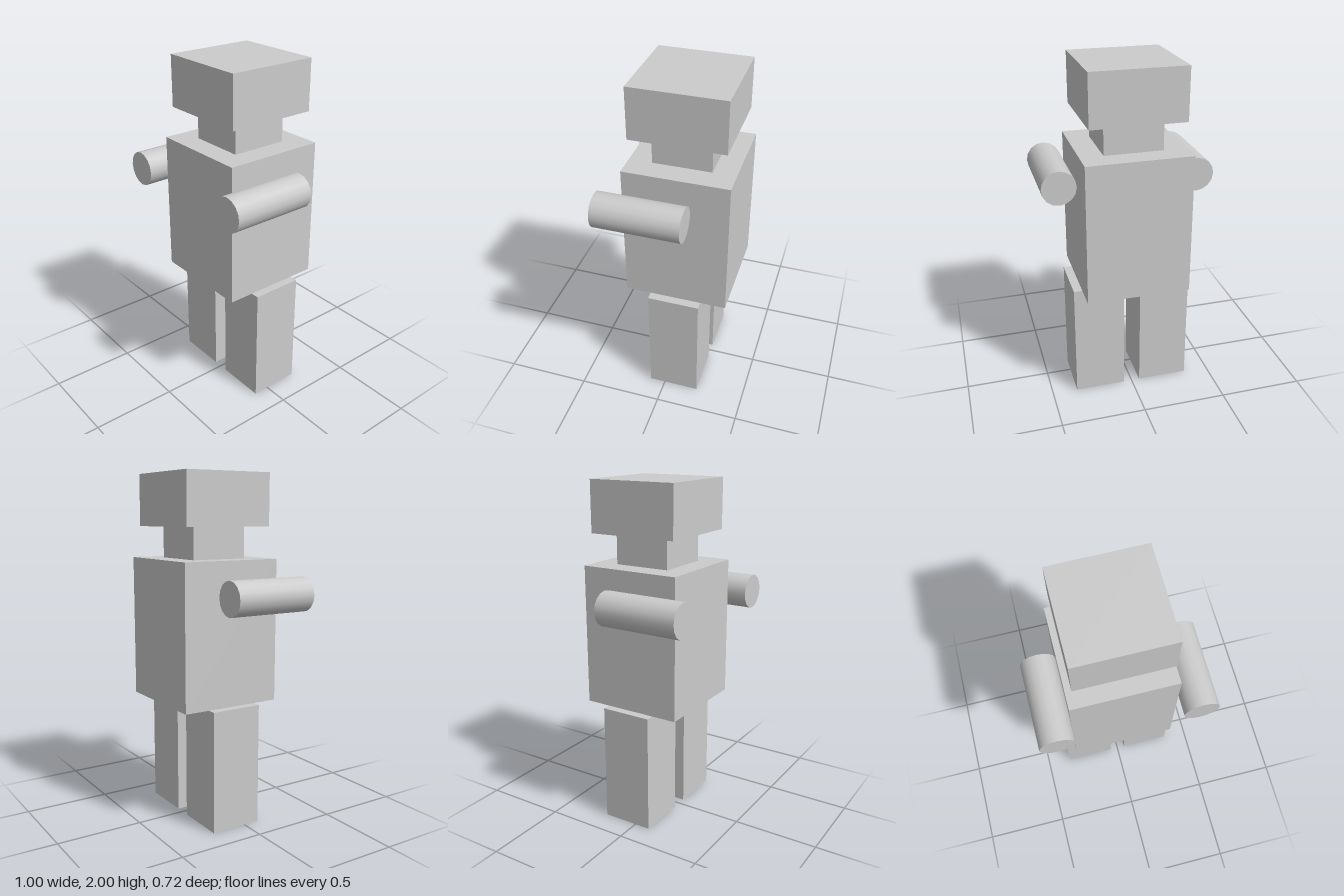
import * as THREE from 'three';

export function createModel() {
  const group = new THREE.Group();
  const material = new THREE.MeshStandardMaterial({ color: 0xcccccc });

  function add(name, geometry, x, y, z) {
    const mesh = new THREE.Mesh(geometry, material);
    mesh.name = name;
    mesh.position.set(x, y, z);
    group.add(mesh);
    return mesh;
  }

  // Stacked body blocks
  const zBody = -0.058;
  add('head', new THREE.BoxGeometry(0.536, 0.296, 0.536), 0, 1.852, zBody);
  add('neck', new THREE.BoxGeometry(0.336, 0.18, 0.336), 0, 1.614, zBody);
  add('torso', new THREE.BoxGeometry(0.6, 0.82, 0.6), 0, 1.114, zBody);

  // Mirrored limbs: block legs and forward-pointing cylinder arms
  const legGeometry = new THREE.BoxGeometry(0.3, 0.704, 0.304);
  const armGeometry = new THREE.CylinderGeometry(0.1, 0.1, 0.5, 16).rotateX(Math.PI / 2);
  for (const [side, s] of [['left', 1], ['right', -1]]) {
    add(side + 'Leg', legGeometry, s * 0.2, 0.352, zBody);
    add(side + 'Arm', armGeometry, s * 0.4, 1.327, 0.107);
  }
  return group;
}
